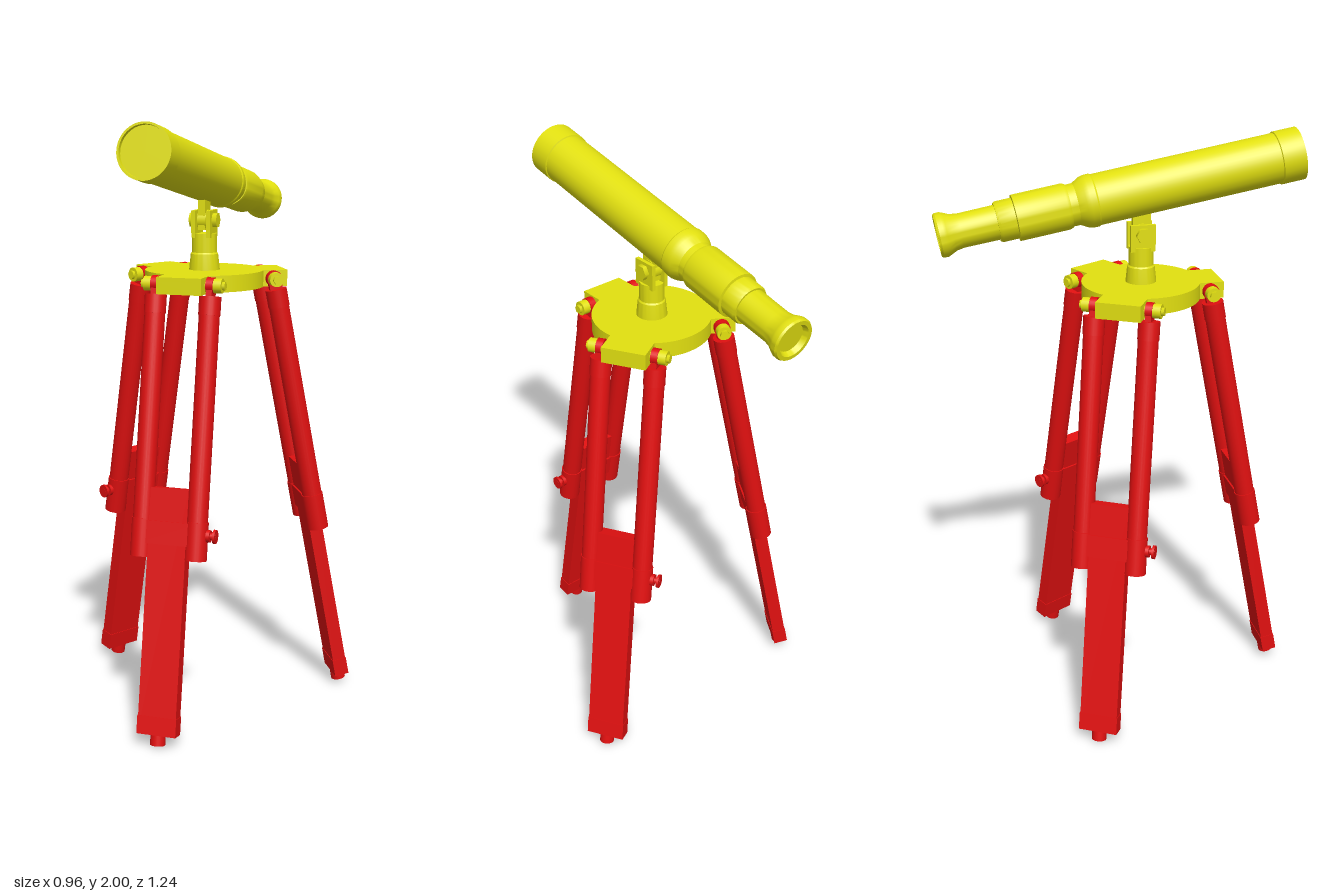
import * as THREE from 'three';
import { toCreasedNormals } from 'three/addons/utils/BufferGeometryUtils.js';

const brass = new THREE.MeshStandardMaterial({ color: 0xe2e010 });
const red = new THREE.MeshStandardMaterial({ color: 0xe01010 });
const HUB_Z = 0.07, PIVOT_Y = 1.48, PIVOT_R = 0.218;

function add(parent, name, geometry, material, x = 0, y = 0, z = 0) {
  const mesh = new THREE.Mesh(geometry, material);
  mesh.name = name;
  mesh.position.set(x, y, z);
  parent.add(mesh);
  return mesh;
}
const box = (w, h, d) => new THREE.BoxGeometry(w, h, d);
const rod = (r, h, sides = 24) => new THREE.CylinderGeometry(r, r, h, sides);
const crossRod = (r, h, sides = 24) => rod(r, h, sides).rotateZ(Math.PI / 2);
const lathe = (pts) => toCreasedNormals(
  new THREE.LatheGeometry(pts.map(([r, y]) => new THREE.Vector2(r, y)), 48), 0.5);

// Round plate outline with three square lobes between the leg hinges
function plateOutline(radius, reach, half) {
  const shape = new THREE.Shape();
  const d = Math.asin(half / radius), step = Math.PI * 2 / 3;
  for (let i = 0; i < 3; i++) {
    const a = -Math.PI / 6 + i * step, c = Math.cos(a), s = Math.sin(a);
    const corner = (side) => [c * reach - s * side, s * reach + c * side];
    if (i === 0) shape.moveTo(...corner(-half));
    else shape.lineTo(...corner(-half));
    shape.lineTo(...corner(half));
    shape.absarc(0, 0, radius, a + d, a + step - d, false);
  }
  shape.closePath();
  return shape;
}

// Plate with a hollow underside
function makePlate() {
  const plate = new THREE.Group();
  plate.name = 'plate';
  const slab = (shape, depth) => toCreasedNormals(new THREE.ExtrudeGeometry(shape,
    { depth, bevelEnabled: false, curveSegments: 24 }).rotateX(Math.PI / 2), 0.5);
  add(plate, 'plateTop', slab(plateOutline(0.2, 0.268, 0.076), 0.015), brass, 0, 1.507, HUB_Z);
  const rim = plateOutline(0.2, 0.268, 0.076);
  rim.holes.push(plateOutline(0.188, 0.256, 0.064));
  add(plate, 'plateRim', slab(rim, 0.04), brass, 0, 1.492, HUB_Z);
  return plate;
}

// One leg: local -y runs down the leg from its hinge
function makeLeg() {
  const leg = new THREE.Group();
  leg.name = 'leg';
  for (const s of [-1, 1]) {
    add(leg, 'hingeTongue', box(0.02, 0.07, 0.044), red, s * 0.094, -0.03, 0);
    add(leg, 'hingeEye', crossRod(0.027, 0.024), red, s * 0.094, 0, 0);
    add(leg, 'hingeLug', crossRod(0.024, 0.036), brass, s * 0.115, 0, 0);
    add(leg, 'hingeBolt', crossRod(0.015, 0.075, 6), brass, s * 0.105, 0, 0);
    add(leg, 'upperTube', rod(0.034, 0.8), red, s * 0.093, -0.435, 0);
    add(leg, 'tubeCap', rod(0.036, 0.06), red, s * 0.093, -0.065, 0);
    add(leg, 'tubeSleeve', rod(0.037, 0.125), red, s * 0.093, -0.825, 0);
  }
  add(leg, 'clampBand', box(0.19, 0.075, 0.058), red, 0, -0.805, 0);
  add(leg, 'slidingLeg', box(0.13, 0.805, 0.046), red, 0, -1.0625, 0);
  add(leg, 'legShoe', box(0.134, 0.06, 0.05), red, 0, -1.435, 0);
  add(leg, 'foot', rod(0.025, 0.04), red, 0, -1.48, 0);

  // Clamp screw with a flat thumb grip
  add(leg, 'screwShaft', crossRod(0.011, 0.06), red, 0.13, -0.805, 0);
  add(leg, 'screwCollar', crossRod(0.02, 0.012), red, 0.134, -0.805, 0);
  add(leg, 'thumbGrip', crossRod(0.023, 0.008), red, 0.155, -0.805, 0);

  leg.position.set(0, PIVOT_Y, PIVOT_R);
  leg.rotation.x = -0.187;
  return leg;
}

// Post, fork and hinge bolt that carry the tube
function makeMount() {
  const mount = new THREE.Group();
  mount.name = 'mount';
  mount.position.z = HUB_Z;
  add(mount, 'post', lathe([[0, 1.495], [0.052, 1.495], [0.052, 1.505], [0.046, 1.56],
    [0.042, 1.565], [0.042, 1.628], [0, 1.628]]), brass);
  for (const s of [-1, 1]) {
    add(mount, 'forkPlate', box(0.013, 0.09, 0.084), brass, s * 0.026, 1.66, 0);
    add(mount, 'boltHead', crossRod(0.026, 0.016, 6), brass, s * 0.04, 1.672, 0);
  }
  add(mount, 'tongue', box(0.024, 0.12, 0.06), brass, 0, 1.7, 0);
  add(mount, 'tongueEye', crossRod(0.034, 0.03), brass, 0, 1.672, 0);
  return mount;
}

// Telescope tube, turned from the front lens to the eyepiece
function makeTelescope() {
  const scope = new THREE.Group();
  scope.name = 'telescope';
  const front = new THREE.Vector3(-0.015, 1.914, 0.605);
  const axis = new THREE.Vector3(0.015, 1.7, -0.603).sub(front);
  scope.position.copy(front);
  scope.quaternion.setFromUnitVectors(new THREE.Vector3(0, 1, 0), axis.normalize());
  add(scope, 'mainTube', lathe([[0, 0.012], [0.08, 0.012], [0.081, 0], [0.088, 0], [0.088, 0.078],
    [0.084, 0.08], [0.084, 0.7], [0.087, 0.705], [0.087, 0.725], [0.083, 0.74], [0.069, 0.765],
    [0.069, 0.81], [0, 0.81]]), brass);
  add(scope, 'drawTube', lathe([[0, 0.79], [0.072, 0.79], [0.076, 0.8], [0.076, 0.968],
    [0.067, 0.97], [0.067, 1.022], [0.063, 1.03], [0, 1.03]]), brass);
  add(scope, 'eyepiece', lathe([[0, 1.02], [0.057, 1.02], [0.056, 1.15], [0.06, 1.175],
    [0.069, 1.195], [0.073, 1.205], [0.073, 1.22], [0.069, 1.227], [0.056, 1.227],
    [0.048, 1.21], [0, 1.21]]), brass);
  return scope;
}

export function createModel() {
  const model = new THREE.Group();
  model.name = 'telescopeOnTripod';
  model.add(makePlate(), makeMount(), makeTelescope());
  for (let i = 0; i < 3; i++) {
    const turn = new THREE.Group();
    turn.name = ['frontLeg', 'leftLeg', 'rightLeg'][i];
    turn.position.z = HUB_Z;
    turn.rotation.y = i * Math.PI * 2 / 3;
    turn.add(makeLeg());
    model.add(turn);
  }
  return model;
}
